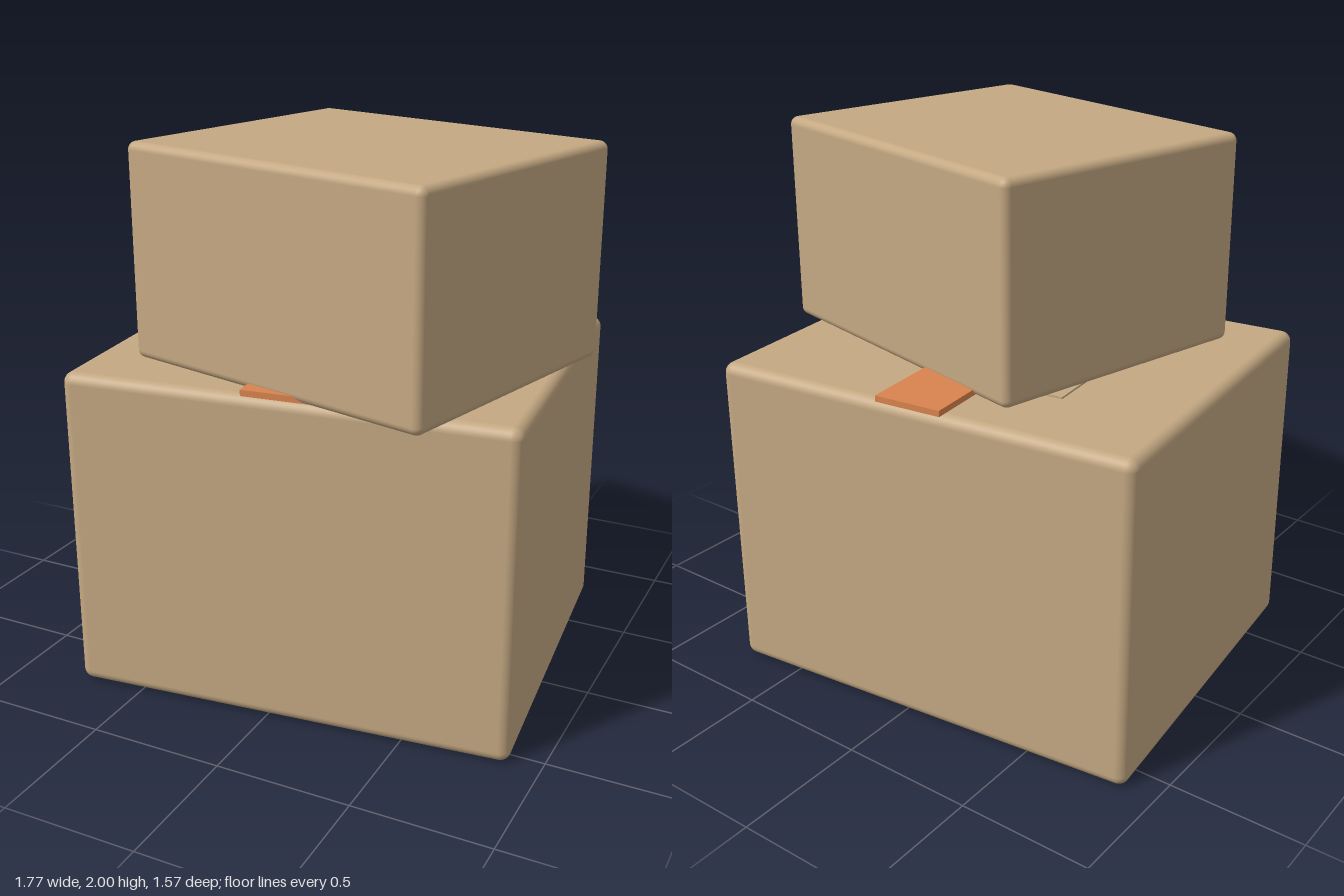
import * as THREE from 'three';
import { RoundedBoxGeometry } from 'three/addons/geometries/RoundedBoxGeometry.js';

export function createModel() {
  const model = new THREE.Group();
  model.name = 'stackedBoxes';

  const cardboard = new THREE.MeshStandardMaterial({ color: 0xc4a882 });
  cardboard.name = 'cardboard';
  const tape = new THREE.MeshStandardMaterial({ color: 0xd9844e });
  tape.name = 'orangeTape';

  const add = (parent, name, geometry, material, x, y, z) => {
    const mesh = new THREE.Mesh(geometry, material);
    mesh.name = name;
    mesh.position.set(x, y, z);
    parent.add(mesh);
    return mesh;
  };

  // Lower box with everything lying on its lid, turned slightly
  const lower = new THREE.Group();
  lower.name = 'lowerBoxGroup';
  lower.position.set(0, 0, -0.026);
  lower.rotation.y = 0.103;
  model.add(lower);
  add(lower, 'lowerBox', new RoundedBoxGeometry(1.65, 1.22, 1.37, 4, 0.04), cardboard, 0, 0.61, 0);

  // Tape strip along the lid, slightly longer than the box is deep
  add(lower, 'tapeStrip', new THREE.BoxGeometry(0.255, 0.022, 1.41), tape, 0, 1.239, 0);

  // Thin flap on the lid, mostly under the upper box
  add(lower, 'lidFlap', new THREE.BoxGeometry(0.3, 0.008, 0.2), cardboard, -0.24, 1.223, -0.255);

  // Upper box, turned the other way
  const upper = add(model, 'upperBox', new RoundedBoxGeometry(1.268, 0.773, 1.072, 4, 0.03), cardboard, 0.143, 1.6135, 0.12);
  upper.rotation.y = -0.24;

  return model;
}
